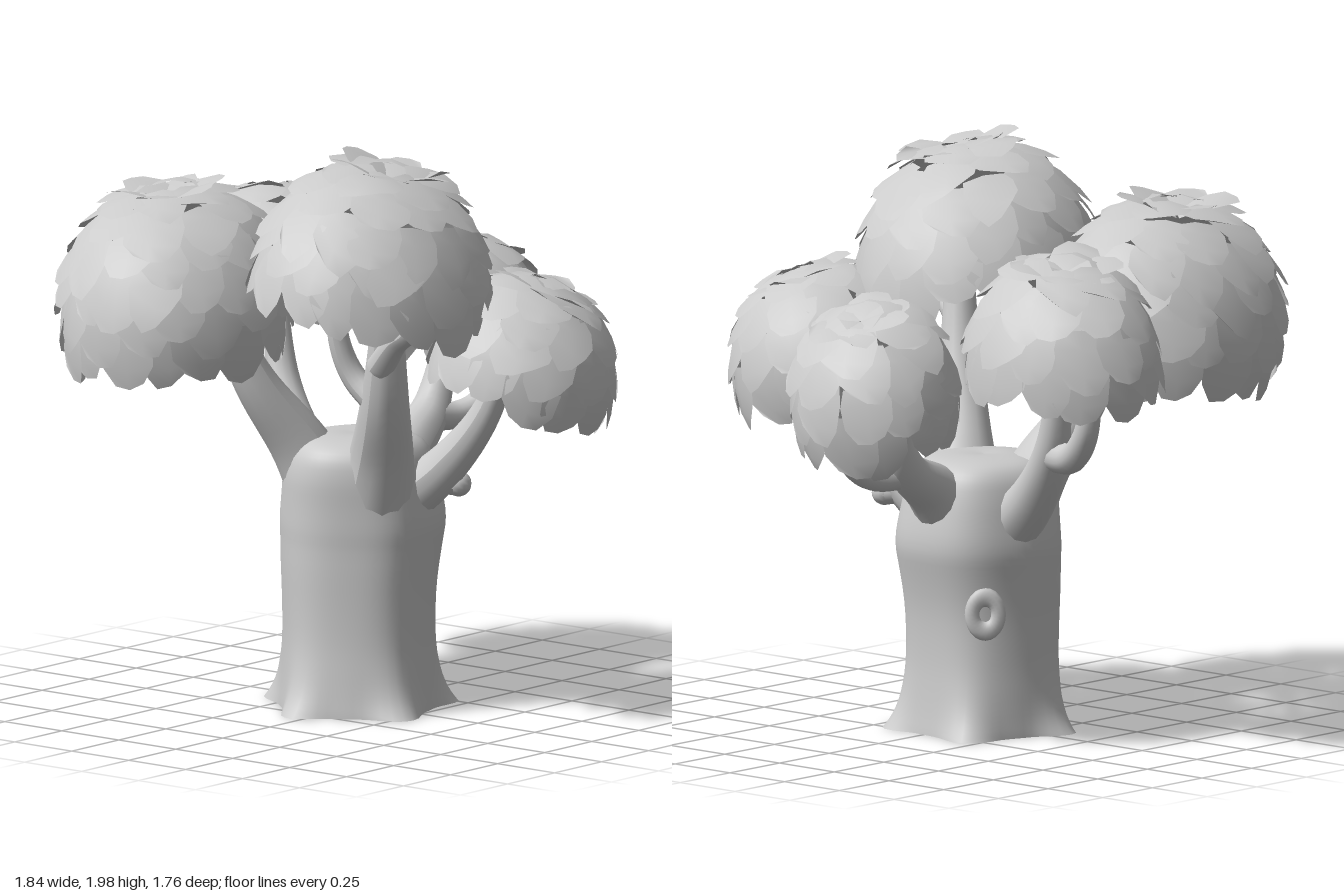
import * as THREE from 'three';
import { mergeVertices } from 'three/addons/utils/BufferGeometryUtils.js';

const bark = new THREE.MeshStandardMaterial({ color: 0xcccccc, side: THREE.DoubleSide });
const leafMat = new THREE.MeshStandardMaterial({ color: 0xcccccc, side: THREE.DoubleSide });

// small seeded random generator
let seed = 7;
const rand = () => {
  seed = (seed * 16807) % 2147483647;
  return seed / 2147483647;
};
const vary = (amount) => (rand() - 0.5) * 2 * amount;

function addMesh(parent, name, geometry, material) {
  const mesh = new THREE.Mesh(geometry, material);
  mesh.name = name;
  parent.add(mesh);
  return mesh;
}

// hollow trunk: rounded shoulders above, five root flares at the foot
function trunkGeometry() {
  const profile = [
    [0.3, 0], [0.282, 0.06], [0.268, 0.14], [0.258, 0.25], [0.258, 0.4], [0.268, 0.55],
    [0.275, 0.64], [0.266, 0.74], [0.254, 0.82], [0.232, 0.885], [0.185, 0.925], [0.09, 0.94], [0.001, 0.935],
  ].map(([r, y]) => new THREE.Vector2(r, y));
  const curve = new THREE.SplineCurve(profile);
  let geo = new THREE.LatheGeometry(curve.getPoints(40), 60);
  geo.deleteAttribute('uv');
  geo.deleteAttribute('normal');
  geo = mergeVertices(geo, 1e-5);
  const p = geo.attributes.position;
  for (let i = 0; i < p.count; i++) {
    const x = p.getX(i), y = p.getY(i), z = p.getZ(i);
    const a = Math.atan2(z, x);
    const wave = Math.cos(5 * (a - 1.64));
    const foot = Math.exp(-y / 0.09);
    const k = 1 + 0.02 * wave + foot * (0.22 * Math.pow((wave + 1) / 2, 2) - 0.07)
      + 0.02 * Math.sin(2 * a + y * 5);
    // slight backward bulge below the limbs
    const bulge = 0.02 * Math.exp(-Math.pow((y - 0.65) / 0.15, 2));
    p.setXYZ(i, x * k - 0.03, y, z * k - 0.005 - bulge);
  }
  geo.computeVertexNormals();
  return geo;
}

// tapered limb along a smooth path
function limbGeometry(points, r0, r1) {
  const curve = new THREE.CatmullRomCurve3(points.map((q) => new THREE.Vector3(...q)));
  const rings = 24, sides = 14;
  const geo = new THREE.TubeGeometry(curve, rings, 1, sides, false);
  const p = geo.attributes.position;
  const v = new THREE.Vector3();
  for (let i = 0; i <= rings; i++) {
    const c = curve.getPointAt(i / rings);
    const r = r1 + (r0 - r1) * Math.pow(1 - i / rings, 1.4);
    for (let j = 0; j <= sides; j++) {
      const n = i * (sides + 1) + j;
      v.fromBufferAttribute(p, n).sub(c).multiplyScalar(r).add(c);
      p.setXYZ(n, v.x, v.y, v.z);
    }
  }
  geo.computeVertexNormals();
  return geo;
}

// domed crown: rings of overlapping leaf plates laid like shingles
function crownGeometry(radii, tilt, rim) {
  const pos = [], idx = [];
  const mean = (radii[0] + radii[2]) / 2;
  const size = 0.16 / mean;
  const rows = [[0, 0.8], [0.3, 1], [0.7, 0.95], [1, 0.55]];
  const turn = new THREE.Quaternion().setFromEuler(new THREE.Euler(tilt[0], 0, tilt[1]));
  const scale = new THREE.Vector3(...radii);
  const v = new THREE.Vector3();

  const addLeaf = (theta, phi, width, length, dip, lift) => {
    const s = Math.sin(theta), c = Math.cos(theta);
    const out = new THREE.Vector3(s * Math.cos(phi), c, s * Math.sin(phi));
    const down = new THREE.Vector3(c * Math.cos(phi), -s, c * Math.sin(phi));
    const side = new THREE.Vector3(-Math.sin(phi), 0, Math.cos(phi));
    const skew = vary(0.2);
    const start = pos.length / 3;
    for (const [t, w] of rows) {
      for (let u = -1; u <= 1; u++) {
        const along = (t + (u === 0 ? 0.08 * t : 0) + u * skew * t) * length;
        v.copy(out).addScaledVector(down, along).addScaledVector(side, u * w * width / 2).normalize();
        v.multiplyScalar(dip + (lift - dip) * t - 0.012 * Math.abs(u));
        v.applyQuaternion(turn).multiply(scale);
        pos.push(v.x, v.y, v.z);
      }
    }
    for (let r = 0; r < rows.length - 1; r++) {
      for (let u = 0; u < 2; u++) {
        const a = start + r * 3 + u, b = a + 3;
        idx.push(a, a + 1, b, a + 1, b + 1, b);
      }
    }
  };

  // raised petals round the sunken centre
  for (let i = 0; i < 6; i++) {
    addLeaf(0.01, i * Math.PI / 3 + vary(0.2), size * 1.15, size * 1.25, 0.82, 1.06 + vary(0.04));
  }
  // shingled rings down to a hanging rim
  const ringStep = size * 0.7;
  let ring = 0;
  for (let theta = size * 0.5; theta < rim; theta += ringStep, ring++) {
    const around = 2 * Math.PI * Math.sin(theta + size * 0.5);
    const count = Math.max(6, Math.round(around / (size * 0.95)));
    const width = around / count * 1.4;
    for (let i = 0; i < count; i++) {
      const phi = (i + (ring % 2) * 0.5 + vary(0.2)) / count * Math.PI * 2;
      addLeaf(theta + vary(0.07), phi, width * (1 + vary(0.1)), size * (1.2 + vary(0.15)), 0.95, 1.04 + vary(0.03));
    }
  }
  const geo = new THREE.BufferGeometry();
  geo.setAttribute('position', new THREE.Float32BufferAttribute(pos, 3));
  geo.setIndex(idx);
  geo.computeVertexNormals();
  return geo;
}

export function createModel() {
  const tree = new THREE.Group();
  tree.name = 'tree';
  addMesh(tree, 'trunk', trunkGeometry(), bark);

  // soft knot scar at the back right of the trunk
  const knot = addMesh(tree, 'trunkKnot', new THREE.TorusGeometry(0.045, 0.025, 10, 24), bark);
  knot.position.set(-0.215, 0.43, -0.2);
  knot.rotation.y = Math.PI * 1.25;
  knot.scale.set(1, 1.3, 0.7);

  // limbs: name, path, start radius, end radius
  const limbs = [
    ['frontLeftLimb', [[0.05, 0.62, 0.02], [0.15, 0.88, 0.09], [0.25, 1.12, 0.19], [0.34, 1.6, 0.28]], 0.15, 0.045],
    ['frontLeftInnerFork', [[0.24, 1.09, 0.2], [0.14, 1.18, 0.22], [0.1, 1.3, 0.25], [0.1, 1.55, 0.28]], 0.05, 0.03],
    ['frontLeftOuterFork', [[0.28, 1.24, 0.25], [0.38, 1.34, 0.29], [0.47, 1.4, 0.32], [0.52, 1.52, 0.34]], 0.05, 0.03],
    ['frontRightLimb', [[-0.09, 0.62, 0.02], [-0.17, 0.88, 0.12], [-0.26, 1.13, 0.27], [-0.38, 1.52, 0.4]], 0.14, 0.045],
    ['backRightLimb', [[-0.13, 0.66, -0.03], [-0.34, 0.84, -0.09], [-0.48, 1.04, -0.15], [-0.56, 1.45, -0.2]], 0.11, 0.035],
    ['backRightFork', [[-0.46, 1.0, -0.13], [-0.59, 1.01, -0.18], [-0.68, 1.1, -0.21], [-0.73, 1.32, -0.22]], 0.06, 0.035],
    ['backLeftLimb', [[0.08, 0.68, -0.05], [0.27, 0.84, -0.1], [0.42, 1.04, -0.14], [0.52, 1.36, -0.18]], 0.1, 0.035],
    ['backLeftStub', [[0.22, 0.83, -0.1], [0.26, 0.79, -0.12], [0.3, 0.78, -0.14]], 0.05, 0.043],
    ['backLimb', [[-0.02, 0.68, -0.09], [-0.03, 0.84, -0.26], [-0.07, 0.95, -0.44], [-0.1, 1.32, -0.6]], 0.13, 0.03],
    ['backFork', [[-0.06, 0.93, -0.4], [-0.02, 0.92, -0.53], [0.01, 0.97, -0.62], [0.02, 1.25, -0.72]], 0.055, 0.03],
  ];
  for (const [name, path, r0, r1] of limbs) addMesh(tree, name, limbGeometry(path, r0, r1), bark);
  const stubEnd = addMesh(tree, 'stubEnd', new THREE.SphereGeometry(0.044, 14, 10), bark);
  stubEnd.position.set(0.3, 0.78, -0.14);

  // crowns: name, centre, radii, lean, polar angle of the last ring
  const crowns = [
    ['frontLeftCrown', [0.25, 1.5, 0.27], [0.395, 0.47, 0.43], [-0.08, -0.17], 1.42],
    ['frontRightCrown', [-0.46, 1.4, 0.445], [0.372, 0.435, 0.42], [0.07, 0.05], 1.65],
    ['backRightCrown', [-0.56, 1.34, -0.19], [0.357, 0.39, 0.305], [-0.1, 0.12], 1.55],
    ['backCrown', [-0.07, 1.22, -0.595], [0.302, 0.34, 0.282], [-0.33, 0], 1.55],
    ['backLeftCrown', [0.585, 1.21, -0.14], [0.32, 0.345, 0.32], [-0.2, -0.26], 1.4],
  ];
  for (const [name, centre, radii, lean, rim] of crowns) {
    addMesh(tree, name, crownGeometry(radii, lean, rim), leafMat).position.set(...centre);
  }
  return tree;
}
